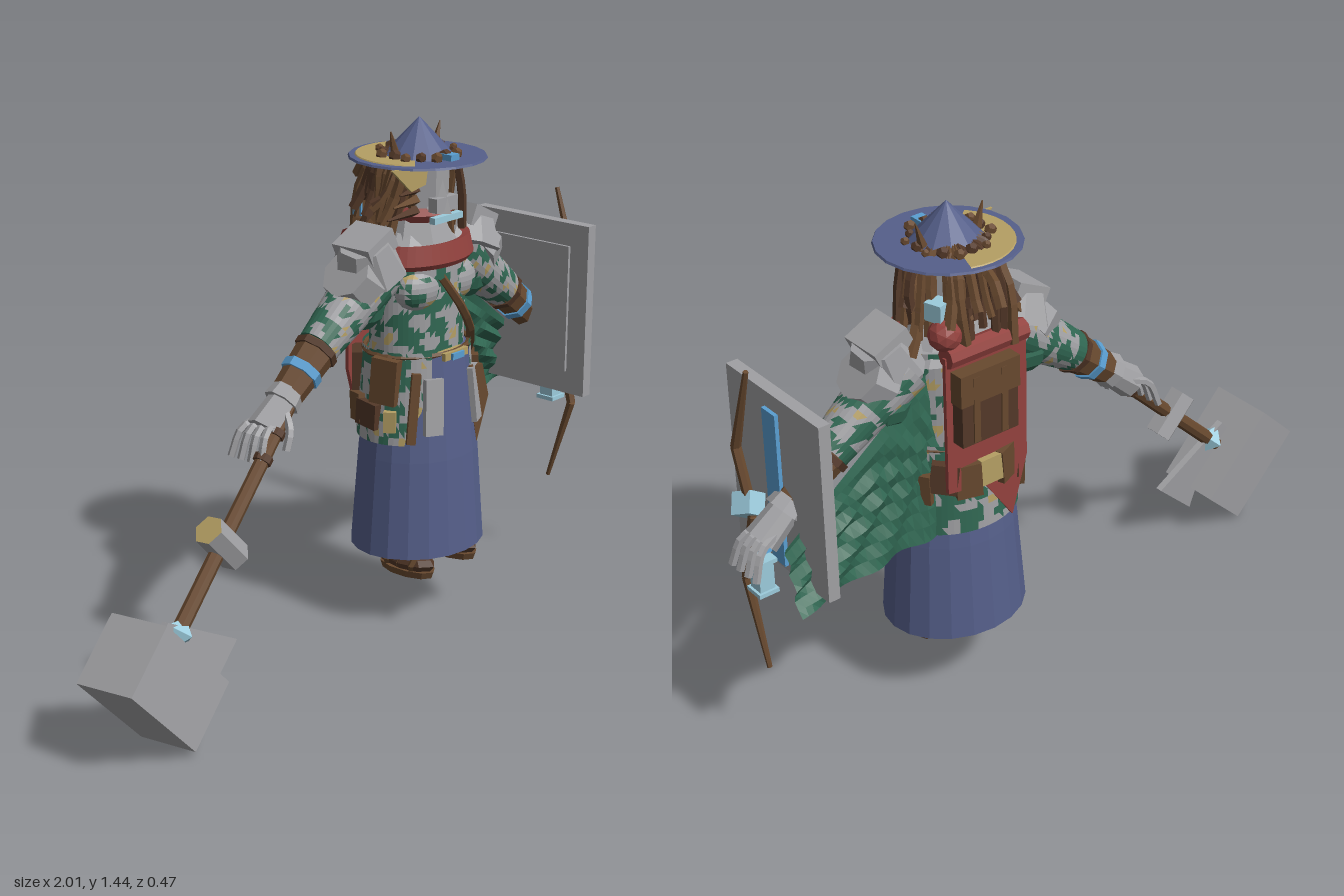
import * as THREE from 'three';

const CX = 0.32; // body axis
const paint = (name, color, side = THREE.FrontSide) => {
  const m = new THREE.MeshStandardMaterial({ color, flatShading: true, side });
  m.name = name;
  return m;
};
const V = (x, y, z) => new THREE.Vector3(x, y, z);

export function createModel() {
  const root = new THREE.Group();
  const D = THREE.DoubleSide;
  const grey = paint('steel', 0xa0a0a3, D), blue = paint('indigo cloth', 0x555f8a, D);
  const green = paint('green cloth', 0x316853, D), red = paint('red cloth', 0x93423e, D);
  const brown = paint('leather', 0x68492f), dark = paint('dark leather', 0x533828);
  const tan = paint('straw', 0xb59f64), sky = paint('bright blue', 0x5a9fd2);
  const ice = paint('pale blue', 0x9ccbdc);

  let seed = 7;
  const rnd = (a = 0, b = 1) => {
    seed = (seed * 16807) % 2147483647;
    return a + (b - a) * seed / 2147483647;
  };
  const add = (name, geo, mat, x = 0, y = 0, z = 0, rx = 0, ry = 0, rz = 0, parent = root) => {
    const m = new THREE.Mesh(geo, mat);
    m.name = name;
    m.position.set(x, y, z);
    m.rotation.set(rx, ry, rz);
    parent.add(m);
    return m;
  };
  const box = (w, h, d) => new THREE.BoxGeometry(w, h, d);
  const cyl = (a, b, h, n = 8) => new THREE.CylinderGeometry(a, b, h, n);
  const tube = (pts, r, seg = 6, sides = 5) =>
    new THREE.TubeGeometry(new THREE.CatmullRomCurve3(pts), seg, r, sides);
  // tapered rod between two points
  const rod = (name, a, b, ra, rb, mat, n = 8, hs = 1) => {
    const g = new THREE.CylinderGeometry(rb, ra, a.distanceTo(b), n, hs);
    const m = add(name, g, mat, ...a.clone().add(b).multiplyScalar(0.5).toArray());
    m.quaternion.setFromUnitVectors(V(0, 1, 0), b.clone().sub(a).normalize());
    return m;
  };
  const plate = (pts, depth) => new THREE.ExtrudeGeometry(
    new THREE.Shape(pts.map(p => new THREE.Vector2(...p))), { depth, bevelEnabled: false });
  // patchwork: each triangle picks steel, green or straw by its place
  const camo = (geo, bias = 0) => {
    const g = geo.toNonIndexed(), p = g.attributes.position;
    g.clearGroups();
    for (let i = 0; i < p.count; i += 3) {
      const x = (p.getX(i) + p.getX(i + 1) + p.getX(i + 2)) / 3;
      const y = (p.getY(i) + p.getY(i + 1) + p.getY(i + 2)) / 3;
      const z = (p.getZ(i) + p.getZ(i + 1) + p.getZ(i + 2)) / 3;
      const s = Math.sin(70 * x + 40 * y) + Math.sin(95 * y - 45 * z) + Math.sin(80 * z - 55 * x) + bias;
      g.addGroup(i, 3, s > 0.4 ? 1 : s < -2 ? 2 : 0);
    }
    return g;
  };
  const patch = [grey, green, tan];
  const lathe = (pts, n, start = 0, len = Math.PI * 2) =>
    new THREE.LatheGeometry(pts.map(p => new THREE.Vector2(...p)), n, start, len);

  // skirt and feet
  add('skirt', lathe([[0, 0.22], [0.207, 0.22], [0.185, 0.5], [0.15, 0.8], [0, 0.8]], 20),
    blue, CX, 0, 0.022).scale.z = 0.87;
  for (const s of [-1, 1]) {
    const x = CX + s * 0.095;
    add('foot', new THREE.SphereGeometry(0.047, 8, 6), dark, x, 0.187, 0.07).scale.set(1, 0.7, 2);
    add('sole', cyl(0.048, 0.044, 0.02, 10), brown, x, 0.16, 0.067).scale.z = 2;
    for (let i = 0; i < 3; i++)
      add('footWrap', new THREE.TorusGeometry(0.038, 0.01, 4, 8), brown, x, 0.187, 0.02 + i * 0.045, 0.3);
    add('ankle', cyl(0.035, 0.04, 0.1), dark, x, 0.23, 0.01);
  }

  // torso and open coat
  add('chest', camo(new THREE.CylinderGeometry(0.16, 0.155, 0.32, 56, 18)), patch, CX, 0.92, 0.012).scale.z = 0.74;
  add('upperChest', cyl(0.1, 0.17, 0.09, 14), grey, CX, 1.09, 0.005).scale.z = 0.75;
  const coat = Array.from({ length: 13 }, (_, i) => [0.186 - 0.0015 * i, 0.55 + 0.022 * i]);
  add('coat', camo(lathe(coat, 56, 0.5, Math.PI * 2 - 1), 0.3), patch, CX, 0, 0.012).scale.z = 0.83;
  for (const s of [-1, 1]) {
    const pec = camo(new THREE.SphereGeometry(0.08, 20, 14), -0.3);
    add('breastPlate', pec, patch, CX + s * 0.075, 0.985, 0.075).scale.set(1, 0.8, 0.7);
    add('hipPlate', box(0.055, 0.16, 0.02), grey, CX + s * 0.09, 0.66, 0.15, -0.1, s * 0.4, s * 0.08);
    add('hipStrap', box(0.025, 0.2, 0.02), brown, CX + s * 0.14, 0.66, 0.12, -0.1, s * 0.7, s * 0.15);
    add('beltPouch', box(0.035, 0.06, 0.04), tan, CX + s * 0.168, 0.62, 0.06, 0, s, 0);
  }
  add('belt', new THREE.TorusGeometry(0.166, 0.009, 5, 24), brown, CX, 0.8, 0.012, Math.PI / 2).scale.y = 0.8;
  add('buckle', box(0.1, 0.022, 0.03), tan, CX, 0.795, 0.142);
  add('buckleGem', box(0.05, 0.018, 0.02), sky, CX, 0.793, 0.155);
  add('chestStrap', tube([V(0.28, 1.02, 0.13), V(0.36, 0.92, 0.14), V(0.43, 0.83, 0.12), V(0.48, 0.76, 0.07)], 0.013), brown);
  add('hangingScabbard', plate([[0.39, 0.74], [0.44, 0.74], [0.47, 0.64], [0.42, 0.51], [0.4, 0.6]], 0.015), brown, 0, 0, 0.14);

  // collar and gorget
  add('collar', lathe([[0.165, 1.045], [0.18, 1.06], [0.165, 1.115], [0.14, 1.11]], 16, -1.25, 2.5),
    red, CX, 0, 0.02).scale.z = 0.7;
  add('gorget', cyl(0.085, 0.12, 0.09, 8), grey, CX, 1.13, 0, 0, 0.39);
  add('scarf', new THREE.TorusGeometry(0.075, 0.022, 5, 12), red, CX, 1.185, 0.01, Math.PI / 2);

  // head
  add('helmet', cyl(0.075, 0.07, 0.17, 8), grey, CX, 1.255, 0.03, 0, 0.39);
  add('faceGuard', new THREE.ConeGeometry(0.05, 0.14, 4), grey, CX, 1.26, 0.08);
  add('visor', box(0.12, 0.018, 0.02), ice, CX - 0.01, 1.18, 0.12);
  add('chinPlate', box(0.09, 0.04, 0.03), grey, CX, 1.215, 0.1);
  for (let i = 0; i < 3; i++)
    rod('feather', V(0.25, 1.2 + i * 0.03, 0.06), V(0.11 + i * 0.025, 1.2 + i * 0.03, 0.08), 0.016, 0.003, i % 2 ? brown : dark, 4);

  // hair locks, sweeping out and back
  for (let i = 0; i < 54; i++) {
    const a = rnd(0.85, Math.PI * 2 - 0.85), sx = Math.sin(a), cz = Math.cos(a);
    const r = rnd(0.09, 0.14), low = rnd(1.08, 1.22), sweep = rnd(0.01, 0.05);
    add('hairLock', tube([V(CX + sx * 0.05, 1.35, cz * 0.05), V(CX + sx * 0.1, 1.325, cz * 0.11),
      V(CX + sx * r, 1.24, cz * r - sweep * 0.5), V(CX + sx * (r + rnd(-0.02, 0.04)), low, cz * r - sweep)],
    rnd(0.009, 0.016)), i % 3 ? brown : dark);
  }
  for (const s of [-1, 1])
    add('templeLock', tube([V(CX + s * 0.08, 1.32, 0.06), V(CX + s * 0.1, 1.25, 0.03), V(CX + s * 0.13, 1.17, -0.03),
      V(CX + s * 0.18, 1.09, -0.06)], 0.017), brown);
  add('flyingLock', tube([V(CX, 1.34, -0.07), V(CX, 1.305, -0.15), V(CX + 0.01, 1.295, -0.19), V(CX + 0.02, 1.245, -0.23)], 0.015), brown);
  add('bobble', new THREE.IcosahedronGeometry(0.045, 1), red, 0.43, 1.155, -0.115);
  add('hairClasp', box(0.05, 0.05, 0.05), ice, 0.43, 1.215, -0.09, 0, 0.3, 0);
  add('hairClasp', box(0.03, 0.04, 0.03), sky, 0.24, 1.18, -0.13);

  // hat
  add('hatBrim', cyl(0.19, 0.193, 0.006, 20), blue, CX, 1.336, 0.008);
  add('hatCrown', new THREE.ConeGeometry(0.1, 0.105, 12), blue, CX, 1.392, 0.012);
  add('strawPatch', new THREE.CylinderGeometry(0.165, 0.17, 0.006, 14, 1, false, 2.8, 2.6), tan, CX, 1.339, 0);
  add('strawFlap', plate([[0.12, 1.335], [0.27, 1.33], [0.26, 1.275], [0.2, 1.265]], 0.008), tan, 0, 0, 0.08);
  for (let i = 0; i < 16; i++) {
    const a = i / 16 * Math.PI * 2, r = 0.097 + 0.014 * (i % 2);
    add('hatBead', new THREE.DodecahedronGeometry(rnd(0.011, 0.019)), i % 2 ? brown : dark,
      CX + Math.sin(a) * r, 1.348, 0.008 + Math.cos(a) * r);
  }
  add('hatGem', box(0.035, 0.028, 0.04), sky, CX, 1.342, 0.12);
  for (const s of [-1, 1])
    rod('hatSpike', V(CX + s * 0.085, 1.35, 0), V(CX + s * 0.105, 1.415, 0), 0.014, 0.002, brown, 5);

  // arms, mirrored about the body axis
  for (const s of [-1, 1]) {
    const at = (o, y, z = 0) => V(CX + s * o, y, z);
    add('shoulderPad', cyl(0.07, 0.108, 0.1, 8), grey, CX + s * 0.215, 1.09, 0.01, 0, 0.39, -s * 0.45);
    add('shoulderBlock', box(0.11, 0.06, 0.13), grey, CX + s * 0.22, 1.125, 0.01, 0, 0, -s * 0.45);
    add('shoulderLame', cyl(0.075, 0.09, 0.07, 8), grey, CX + s * 0.265, 1.04, 0.005, 0, 0, -s * 0.9);
    const upper = rod('upperArm', at(0.17, 1.04), at(0.4, 0.875), 0.085, 0.058, patch, 28, 14);
    upper.geometry = camo(upper.geometry, 0.2);
    add('sleeve', new THREE.SphereGeometry(0.072, 9, 6), green, CX + s * 0.225, 0.955, -0.005);
    add('elbowGuard', new THREE.DodecahedronGeometry(0.056), grey, CX + s * 0.35, 0.91, -0.01);
    rod('bracer', at(0.39, 0.88), at(0.52, 0.775), 0.058, 0.046, brown, 8);
    rod('bracerBand', at(0.455, 0.828), at(0.475, 0.812), 0.058, 0.057, sky, 8);
    rod('bracerEdge', at(0.4, 0.872), at(0.415, 0.86), 0.063, 0.062, dark, 8);
    rod('cuff', at(0.51, 0.785), at(0.545, 0.755), 0.044, 0.052, grey, 8);
    rod('palm', at(0.53, 0.765), at(0.615, 0.695), 0.04, 0.048, grey, 8);
    for (let i = 0; i < 4; i++) {
      const z = -0.04 + i * 0.024;
      add('finger', tube([at(0.59, 0.72, z * 0.8), at(0.645, 0.7, z * 1.2), at(0.675, 0.625, z * 1.5)], 0.011), grey);
    }
    add('thumb', tube([at(0.56, 0.74, 0.03), at(0.58, 0.7, 0.065), at(0.6, 0.65, 0.07)], 0.012), grey);
  }

  // cape hanging from the left arm, its folds fanning out from the shoulder
  const cape = new THREE.PlaneGeometry(1, 1, 26, 10), cp = cape.attributes.position;
  for (let i = 0; i < cp.count; i++) {
    const u = cp.getX(i) + 0.5, v = 0.5 - cp.getY(i);
    const top = 1.06 - 0.38 * u, bottom = 0.55 - 0.025 * u;
    const fan = Math.atan2(v, u + 0.05);
    cp.setXYZ(i, 0.4 + 0.5 * u + 0.02 * u * v, top + (bottom - top) * v,
      -0.055 - 0.03 * v - 0.05 * u * u * v + 0.012 * Math.sin(fan * 22) * Math.min(1, u + v));
  }
  add('cape', cape, green);

  // back: banner, bedroll, pack and pouches
  add('backBanner', plate([[0.19, 1.1], [0.45, 1.1], [0.45, 0.7], [0.33, 0.68], [0.24, 0.55], [0.19, 0.72]], 0.012), red, 0, 0, -0.14);
  add('bedroll', cyl(0.03, 0.03, 0.25, 8), red, CX, 1.1, -0.135, 0, 0, Math.PI / 2);
  add('backpack', box(0.18, 0.2, 0.06), dark, 0.34, 0.95, -0.15);
  add('packFlap', box(0.19, 0.09, 0.066), brown, 0.34, 1.015, -0.15);
  for (const s of [-1, 1]) add('packStrap', box(0.02, 0.19, 0.008), brown, 0.34 + s * 0.045, 0.95, -0.18);
  for (let i = 0; i < 11; i++) {
    const a = 1.35 + i * 0.36;
    add('pouch', box(rnd(0.05, 0.08), rnd(0.07, 0.14), 0.04), i === 5 ? tan : i % 2 ? dark : brown,
      CX + Math.sin(a) * 0.175, rnd(0.62, 0.74), 0.01 + Math.cos(a) * 0.148, 0, a, rnd(-0.15, 0.15));
  }

  // war hammer, built along its own handle
  const hammer = new THREE.Group();
  hammer.name = 'hammer';
  const hy = V(0.72, 0.67, -0.11).normalize(), hx = V(0.69, -0.72, 0);
  hx.addScaledVector(hy, -hx.dot(hy)).normalize();
  hammer.quaternion.setFromRotationMatrix(new THREE.Matrix4().makeBasis(hx, hy, hx.clone().cross(hy)));
  hammer.position.set(-0.82, 0.19, 0.115);
  root.add(hammer);
  const part = (n, g, m, x, y, z, rz = 0) => add(n, g, m, x, y, z, 0, 0, rz, hammer);
  part('hammerHead', box(0.31, 0.2, 0.185), grey, 0, 0, 0);
  part('hammerBlade', plate([[-0.063, 0.14], [0.21, 0.235], [0.208, 0.042], [0.13, 0.08], [-0.06, 0.09]], 0.02), grey, 0, 0, -0.01);
  part('handle', cyl(0.019, 0.022, 0.75, 8), brown, 0, 0.46, 0);
  part('handleGem', new THREE.OctahedronGeometry(0.048, 0), ice, 0, 0.14, 0);
  part('handleCollar', cyl(0.043, 0.043, 0.14, 6), [grey, tan, grey], 0, 0.405, 0, Math.PI / 2);
  for (const y of [0.66, 0.74]) part('handleRing', cyl(0.026, 0.026, 0.02, 8), dark, 0, y, 0);

  // shield
  add('shield', box(0.034, 0.515, 0.405), grey, 0.838, 0.818, 0.032);
  add('shieldPanel', box(0.012, 0.38, 0.28), grey, 0.818, 0.818, 0.032);
  add('shieldStripe', box(0.012, 0.45, 0.058), sky, 0.86, 0.805, 0.036);

  // bow with its grip and lantern
  const bow = [[1.15, 0.055], [0.9, 0.132], [0.72, 0.075], [0.5, 0.132], [0.25, 0.055]].map(p => V(0.907, ...p));
  const bowR = [0.007, 0.014, 0.014, 0.014, 0.007];
  for (let i = 0; i < 4; i++) rod('bowLimb', bow[i], bow[i + 1], bowR[i], bowR[i + 1], brown, 6);
  add('bowGrip', box(0.06, 0.06, 0.06), ice, 0.907, 0.745, 0.095, 0.4, 0.4, 0.5);
  add('bowClasp', box(0.03, 0.06, 0.02), sky, 0.9, 0.65, 0.05, 0.2, 0, 0);
  add('lantern', box(0.045, 0.085, 0.045), ice, 0.907, 0.552, 0.055);
  for (const y of [0.505, 0.598]) add('lanternCap', box(0.06, 0.012, 0.06), ice, 0.907, y, 0.055);

  return root;
}
